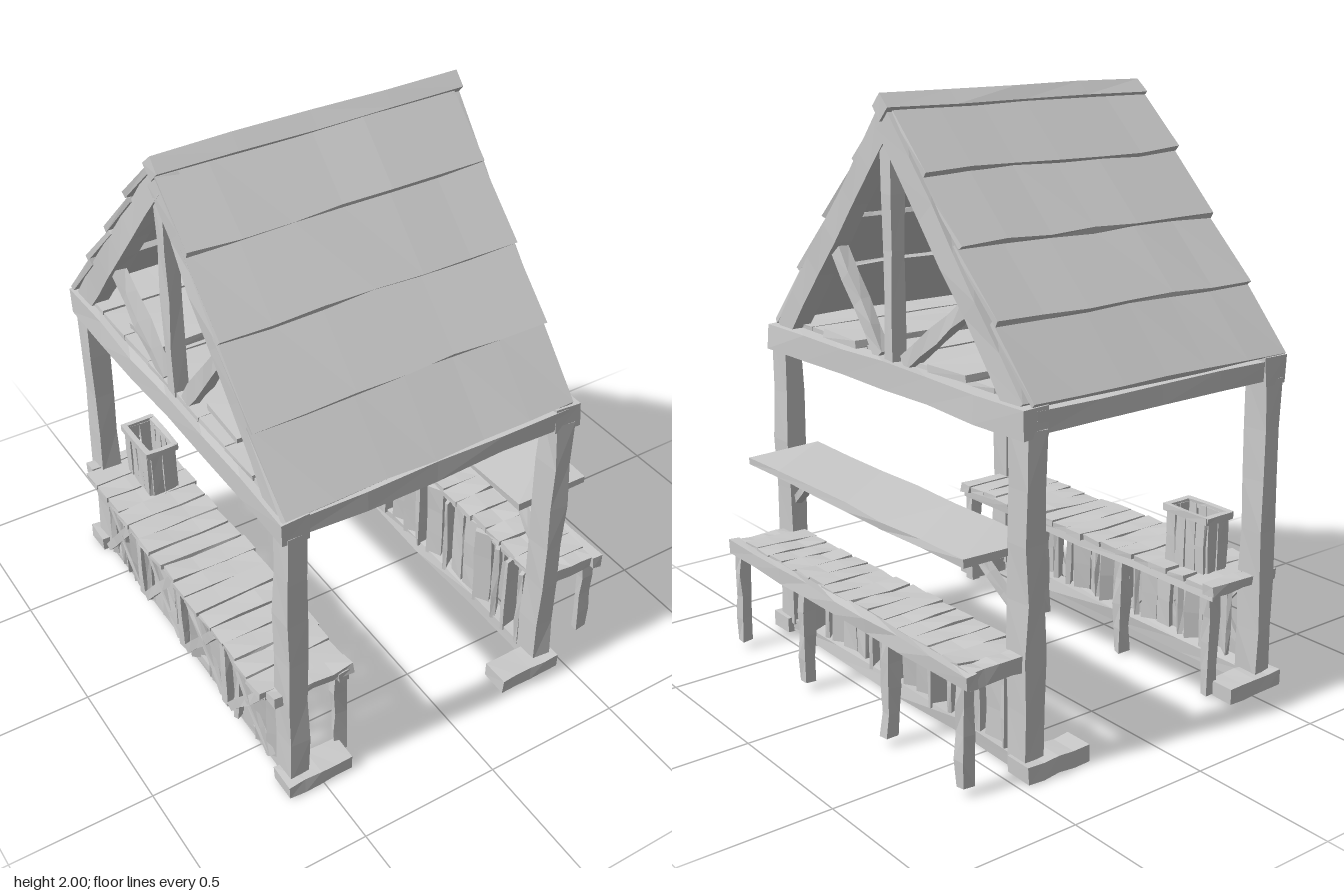
import * as THREE from 'three';

const wood = new THREE.MeshStandardMaterial({ color: 0xcccccc, flatShading: true });

// Repeatable noise in -1..1
function noise(a, b, c, d) {
  const s = Math.sin(a * 127.1 + b * 311.7 + c * 74.7 + d * 53.3) * 43758.5453;
  return (s - Math.floor(s)) * 2 - 1;
}

let seed = 0;

// Hewn timber from a to b: w is its horizontal width, h its other thickness
function timber(parent, name, a, b, w, h, wobble = 0.005, seg = 4) {
  const A = new THREE.Vector3(...a), B = new THREE.Vector3(...b);
  const geo = new THREE.BoxGeometry(w, h, A.distanceTo(B), 1, 1, seg);
  const p = geo.attributes.position;
  seed++;
  for (let i = 0; i < p.count; i++) {
    const x = p.getX(i), y = p.getY(i), z = p.getZ(i);
    const sx = Math.sign(x), sy = Math.sign(y), sz = Math.round(z * 100);
    p.setXYZ(i,
      x + noise(sx, sy, sz, seed) * Math.min(wobble, w * 0.2),
      y + noise(sx, sy, sz, seed + 0.5) * Math.min(wobble, h * 0.2),
      z + noise(sx, sy, sz, seed + 0.8) * wobble * 0.6);
  }
  geo.computeVertexNormals();
  const mesh = new THREE.Mesh(geo, wood);
  mesh.name = name;
  mesh.position.copy(A).add(B).multiplyScalar(0.5);
  mesh.lookAt(B);
  parent.add(mesh);
  return mesh;
}

function group(parent, name) {
  const g = new THREE.Group();
  g.name = name;
  parent.add(g);
  return g;
}

const LX = -0.57, RX = 0.42;   // x of the two post lines

function buildFrame(root) {
  const frame = group(root, 'frame');
  for (const x of [LX, RX]) {
    for (const s of [1, -1]) {
      timber(frame, 'post', [x, 0.04, s * 0.675], [x, 1.09, s * 0.675], 0.07, 0.09, 0.006, 6);
      const fx = x === LX ? -0.51 : 0.35;
      timber(frame, 'foot', [fx - 0.12, 0.033, s * 0.7], [fx + 0.12, 0.033, s * 0.7], 0.1, 0.055, 0.003);
    }
    timber(frame, 'sill', [x, 0.033, 0.7], [x, 0.033, -0.7], 0.055, 0.05);
    timber(frame, 'topPlate', [x, 1.115, 0.72], [x, 1.115, -0.72], 0.095, 0.088, 0.005, 6);
  }
  for (const s of [1, -1])
    timber(frame, 'crossBeam', [LX, 1.115, s * 0.675], [RX, 1.115, s * 0.675], 0.08, 0.07);

  // Loft floor with a few loose boards on it
  const loft = group(root, 'loftFloor');
  for (let i = 0; i < 8; i++) {
    const z = -0.595 + i * 0.17;
    timber(loft, 'floorBoard', [-0.59, 1.162, z], [0.41, 1.162, z], 0.166, 0.022, 0.004);
  }
  timber(loft, 'looseBoard', [-0.55, 1.18, 0.25], [0.45, 1.18, 0.28], 0.2, 0.026);
  timber(loft, 'looseBoard', [-0.55, 1.185, -0.28], [0.45, 1.185, -0.32], 0.19, 0.028);
}

function buildRoof(root) {
  const roof = group(root, 'roof');
  // Gable trusses
  for (const x of [LX, RX - 0.005]) {
    const truss = group(roof, 'truss');
    for (const s of [1, -1]) {
      timber(truss, 'rafter', [x, 1.14, s * 0.655], [x, 1.915, 0], 0.065, 0.085, 0.004, 6);
      const zTop = s > 0 ? 0.31 : -0.4, yTop = s > 0 ? 1.47 : 1.4;
      timber(truss, 'strut', [x, 1.165, s * 0.07], [x, yTop, zTop], 0.04, 0.05, 0.004);
    }
    timber(truss, 'kingPost', [x, 1.15, 0], [x, 1.87, 0], 0.05, 0.05, 0.004);
  }
  // Four lapped boards on each slope, lower edges lifted
  const n = 4, top = [0.005, 1.955], eave = [0.705, 1.155];
  const nz = 0.752, ny = 0.659;
  for (const s of [1, -1]) {
    for (let i = 0; i < n; i++) {
      const t0 = i / n - (i ? 0.02 : 0), t1 = (i + 1) / n;
      const point = (t, lift) => [
        top[0] + (eave[0] - top[0]) * t + nz * lift,
        top[1] + (eave[1] - top[1]) * t + ny * lift];
      const [z0, y0] = point(t0, 0.003), [z1, y1] = point(t1, i === n - 1 ? 0.012 : 0.028);
      const len = Math.hypot(z1 - z0, y1 - y0);
      const board = timber(roof, 'roofBoard',
        [-0.61, (y0 + y1) / 2, s * (z0 + z1) / 2], [0.435, (y0 + y1) / 2, s * (z0 + z1) / 2],
        len, 0.02, 0.006, 6);
      board.rotation.set(0, 0, 0);
      board.rotateX(s * Math.atan2(y0 - y1, z1 - z0));
      board.rotateY(Math.PI / 2);
    }
  }
  // Ridge pole set on edge
  const ridge = timber(roof, 'ridgePole', [-0.61, 1.957, 0], [0.46, 1.957, 0], 0.06, 0.06, 0.003);
  ridge.rotateZ(Math.PI / 4);
}

// Row of upright boards closing the side below a bench
function buildWall(parent, x) {
  const wall = group(parent, 'plankWall');
  const n = 17, step = 1.27 / n;
  for (let i = 0; i < n; i++) {
    const z = -0.635 + step * (i + 0.5);
    timber(wall, 'wallBoard',
      [x + 0.004 * noise(i, 1, x, 3), 0.045, z], [x + 0.004 * noise(i, 2, x, 3), 0.375, z + 0.004 * noise(i, 3, x, 3)],
      0.018, step - 0.006, 0.004, 3);
  }
}

// Cross slats of a bench top between two x values
function buildSlats(parent, x0, x1, y) {
  const n = 15, step = 1.28 / n;
  for (let i = 0; i < n; i++) {
    const z = -0.645 + step * (i + 0.5), e = 0.008 * noise(i, 5, y, 1);
    const dy = 0.004 * noise(i, 7, y, 2);
    timber(parent, 'seatSlat', [x0 + e, y + dy, z], [x1 + e, y - dy, z + e], step - 0.006, 0.02, 0.004, 3);
  }
}

function buildOuterBench(root) {
  const bench = group(root, 'outerBench');
  buildWall(bench, 0.415);
  buildSlats(bench, 0.4, 0.635, 0.393);
  timber(bench, 'frontRail', [0.65, 0.375, 0.7], [0.65, 0.375, -0.71], 0.04, 0.05, 0.005, 8);
  timber(bench, 'backRail', [0.44, 0.365, 0.64], [0.44, 0.365, -0.64], 0.035, 0.04, 0.004);
  for (const z of [0.655, -0.67])
    timber(bench, 'endRail', [0.44, 0.375, z], [0.645, 0.375, z], 0.065, 0.05);
  for (const z of [0.65, 0.22, -0.28, -0.67])
    timber(bench, 'leg', [0.645, 0.03, z], [0.64, 0.37, z], 0.035, 0.045, 0.006);

  // Serving shelf above, with diagonal brackets to the posts
  const shelf = group(root, 'shelf');
  timber(shelf, 'shelfBoard', [0.48, 0.708, 0.62], [0.48, 0.708, -0.63], 0.28, 0.025, 0.004, 6);
  for (const s of [1, -1])
    timber(shelf, 'bracket', [0.42, 0.51, s * 0.64], [0.45, 0.7, s * 0.41], 0.03, 0.025, 0.003);
}

function buildInnerBench(root) {
  const bench = group(root, 'innerBench');
  buildWall(bench, -0.59);
  buildSlats(bench, -0.66, -0.345, 0.398);
  timber(bench, 'frontRail', [-0.38, 0.372, 0.68], [-0.38, 0.372, -0.68], 0.04, 0.035);
  timber(bench, 'outerRail', [-0.62, 0.372, 0.62], [-0.62, 0.372, -0.66], 0.03, 0.035);
  for (const z of [0.655, -0.67])
    timber(bench, 'endRail', [-0.64, 0.393, z], [-0.345, 0.393, z], 0.05, 0.034);
  for (const z of [0.65, 0.22, -0.22, -0.65])
    timber(bench, 'leg', [-0.383, 0.012, z], [-0.385, 0.38, z], 0.032, 0.045, 0.006);

  // Crossed braces on the outside
  const n = 4, step = 1.26 / n;
  for (let i = 0; i < n; i++) {
    const z0 = -0.63 + i * step, z1 = z0 + step;
    timber(bench, 'brace', [-0.62, 0.06, z0 + 0.03], [-0.612, 0.36, z1 - 0.03], 0.018, 0.032, 0.003);
    timber(bench, 'brace', [-0.612, 0.06, z1 - 0.03], [-0.62, 0.36, z0 + 0.03], 0.018, 0.032, 0.003);
    if (i) timber(bench, 'stud', [-0.615, 0.05, z0], [-0.615, 0.365, z0], 0.025, 0.035, 0.003);
  }

  // Slatted open crate on the bench
  const crate = group(root, 'crate');
  const cx = -0.467, cz = -0.495, hx = 0.05, hz = 0.09;
  for (const s of [1, -1]) {
    for (let i = 0; i < 4; i++) {
      const z = cz + (i - 1.5) * 0.046;
      timber(crate, 'crateSlat', [cx + s * hx, 0.4, z], [cx + s * hx, 0.6, z], 0.012, 0.041, 0.003, 2);
    }
    for (let i = 0; i < 2; i++) {
      const x = cx + (i - 0.5) * 0.046;
      timber(crate, 'crateSlat', [x, 0.4, cz + s * hz], [x, 0.6, cz + s * hz], 0.042, 0.012, 0.003, 2);
    }
    timber(crate, 'crateRim', [cx + s * 0.054, 0.597, cz - 0.103], [cx + s * 0.054, 0.597, cz + 0.103], 0.02, 0.024, 0.002, 2);
    timber(crate, 'crateRim', [cx - 0.06, 0.597, cz + s * 0.096], [cx + 0.06, 0.597, cz + s * 0.096], 0.02, 0.024, 0.002, 2);
  }
}

export function createModel() {
  seed = 0;
  const root = new THREE.Group();
  root.name = 'marketStall';
  buildFrame(root);
  buildRoof(root);
  buildOuterBench(root);
  buildInnerBench(root);
  return root;
}
